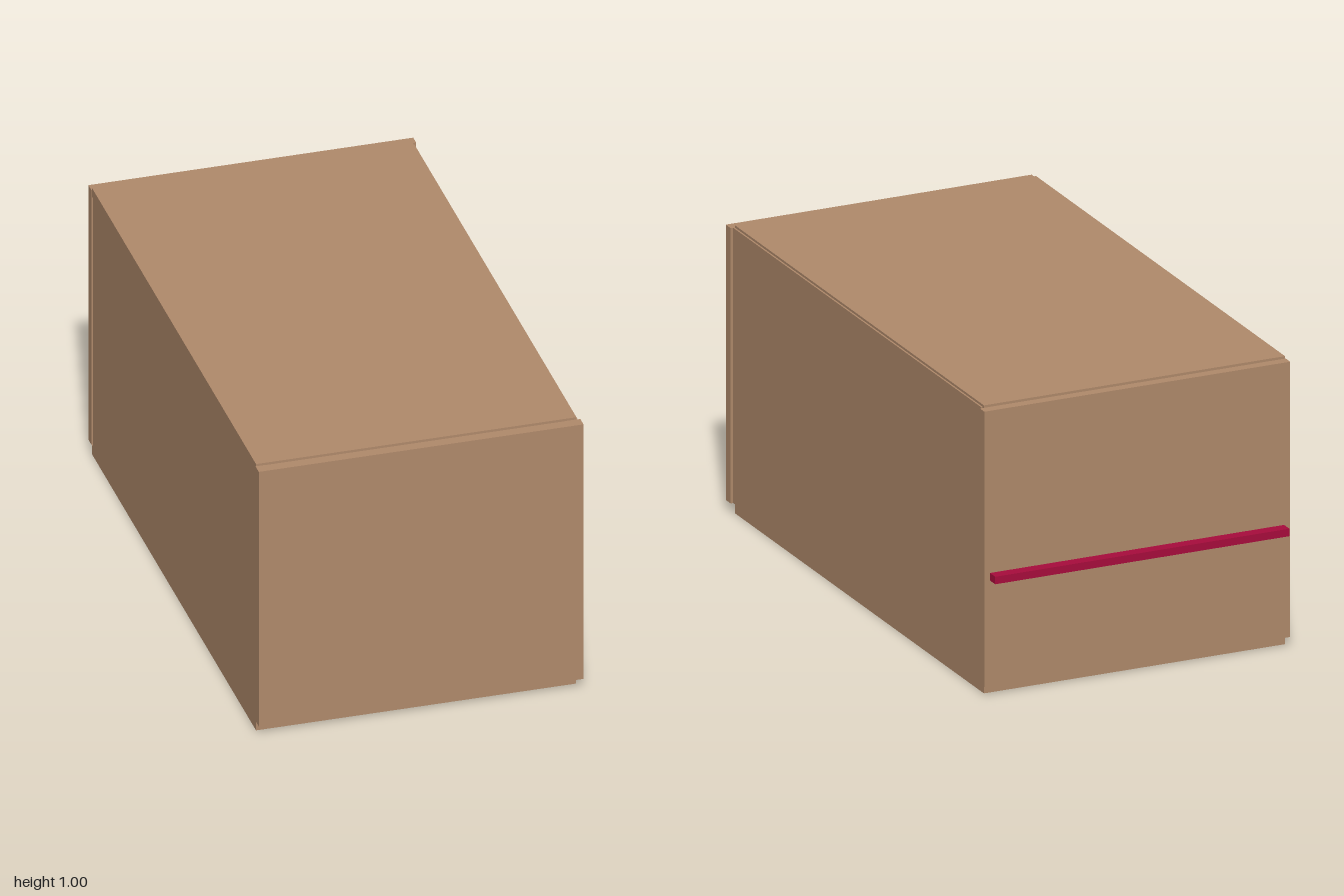
import * as THREE from 'three';

export function createModel() {
  const group = new THREE.Group();
  group.name = 'cabinet';
  const wood = new THREE.MeshStandardMaterial({ color: 0xb08a6b });
  const red = new THREE.MeshStandardMaterial({ color: 0xa80c3c });

  // Box given by its extents on each axis
  const slab = (name, [x0, x1], [y0, y1], [z0, z1], material = wood) => {
    const mesh = new THREE.Mesh(new THREE.BoxGeometry(x1 - x0, y1 - y0, z1 - z0), material);
    mesh.name = name;
    mesh.position.set((x0 + x1) / 2, (y0 + y1) / 2, (z0 + z1) / 2);
    group.add(mesh);
  };

  // Top and bottom boards
  const boardX = [-0.55, 0.535], boardZ = [-0.925, 0.962];
  slab('bottomBoard', boardX, [0, 0.036], boardZ);
  slab('topBoard', boardX, [0.965, 0.998], boardZ);

  // Side walls, stopping just short of the back door
  const wallY = [0.036, 0.99], wallZ = [-0.915, 0.965];
  slab('leftWall', [0.505, 0.541], wallY, wallZ);
  slab('rightWall', [-0.55, -0.515], wallY, wallZ);

  // Full-width end panels
  slab('frontPanel', [-0.552, 0.55], wallY, [0.963, 1]);
  slab('backDoor', [-0.552, 0.55], wallY, [-0.96, -0.926]);

  // Shelves inside, their edges showing in the narrow gap
  for (const y of [0.1, 0.3, 0.475, 0.615]) {
    slab('shelf', [-0.515, 0.505], [y - 0.01, y + 0.01], [-0.921, 0.963]);
  }

  // Long handle bar across the back door
  slab('handle', [-0.53, 0.53], [0.402, 0.428], [-1, -0.918], red);

  return group;
}
